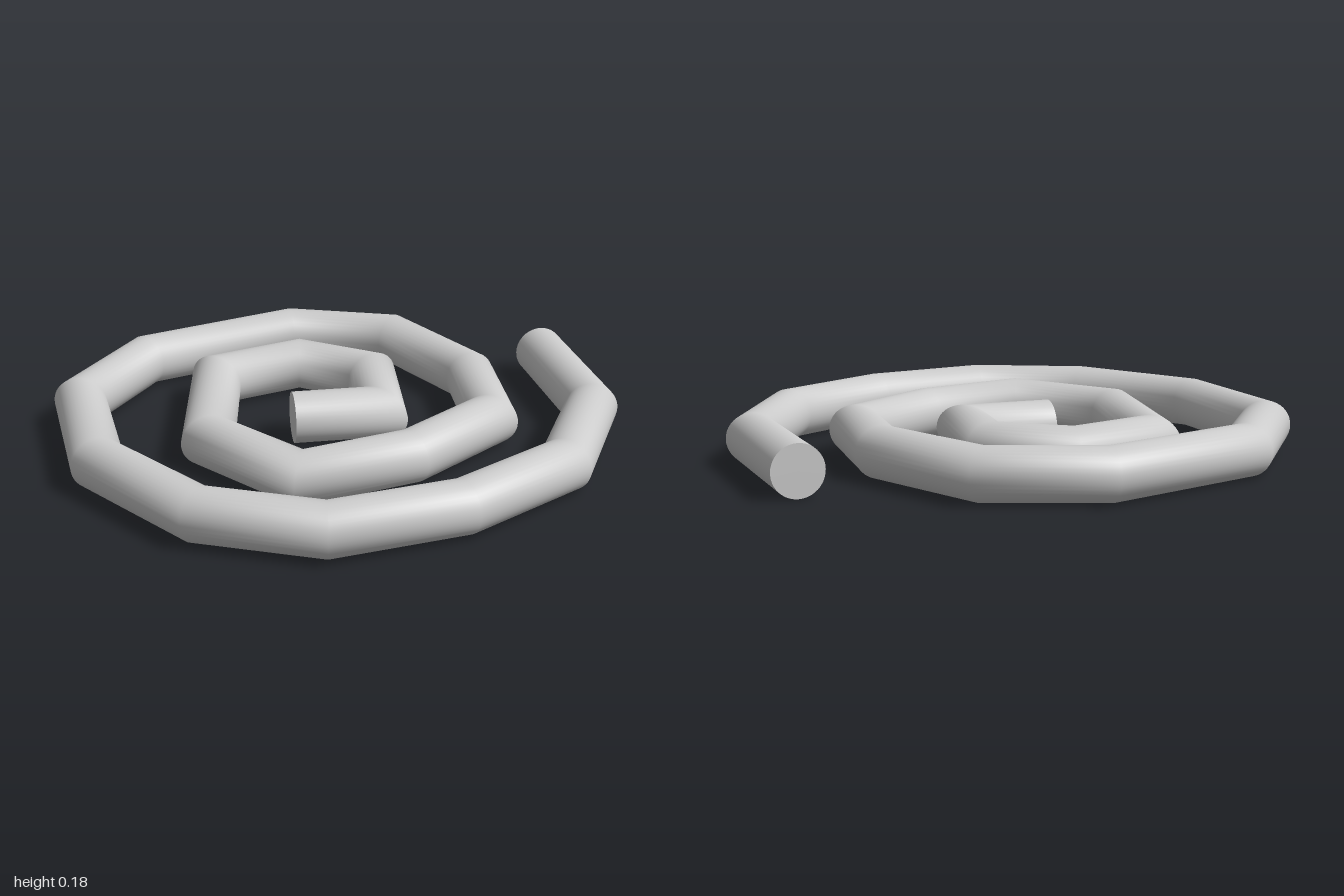
import * as THREE from 'three';

const RADIUS = 0.0885;
const SIDES = 40;

// Spiral centreline on the ground plane, [x, z], from the inner end outwards
const PATH = [
  [-0.05, 0.183], [0.09, -0.085], [-0.18, -0.259], [-0.442, -0.127], [-0.495, 0.201],
  [-0.066, 0.516], [0.354, 0.444], [0.437, 0.056], [0.368, -0.344], [0.029, -0.545],
  [-0.442, -0.561], [-0.73, -0.294], [-0.815, 0.299], [-0.608, 0.693], [-0.132, 0.899],
  [0.368, 0.841], [0.69, 0.587], [0.82, 0.161], [0.788, -0.296], [0.505, -0.688],
  [-0.005, -0.92],
].map(([x, z]) => new THREE.Vector3(x, RADIUS, z));

const direction = (i) => PATH[i + 1].clone().sub(PATH[i]).normalize();

// Straight round pipes joined by mitred corners, with normals shared along the length
function mitredTube() {
  const up = new THREE.Vector3(0, 1, 0);
  const last = PATH.length - 1;
  const positions = [], normals = [], index = [];
  PATH.forEach((p, i) => {
    const before = direction(Math.max(i - 1, 0));
    const after = direction(Math.min(i, last - 1));
    const tangent = before.clone().add(after).normalize();
    const side = tangent.clone().cross(up);
    const stretch = 1 / tangent.dot(after);
    for (let j = 0; j < SIDES; j++) {
      const a = (j / SIDES) * Math.PI * 2;
      const c = Math.cos(a), s = Math.sin(a);
      const v = p.clone().addScaledVector(side, c * RADIUS * stretch).addScaledVector(up, s * RADIUS);
      positions.push(v.x, v.y, v.z);
      normals.push(side.x * c, s, side.z * c);
      if (i < last) {
        const k = (j + 1) % SIDES;
        const a0 = i * SIDES + j, b0 = i * SIDES + k;
        index.push(a0, a0 + SIDES, b0, b0, a0 + SIDES, b0 + SIDES);
      }
    }
  });
  const g = new THREE.BufferGeometry();
  g.setAttribute('position', new THREE.Float32BufferAttribute(positions, 3));
  g.setAttribute('normal', new THREE.Float32BufferAttribute(normals, 3));
  g.setIndex(index);
  return g;
}

export function createModel() {
  const model = new THREE.Group();
  model.name = 'spiralCoil';
  const material = new THREE.MeshStandardMaterial({ color: 0xcccccc });

  const coil = new THREE.Mesh(mitredTube(), material);
  coil.name = 'coil';
  model.add(coil);

  // Flat discs closing both ends
  const addCap = (name, point, outward) => {
    const cap = new THREE.Mesh(new THREE.CircleGeometry(RADIUS, SIDES), material);
    cap.name = name;
    cap.position.copy(point);
    cap.lookAt(point.clone().add(outward));
    model.add(cap);
  };
  const last = PATH.length - 1;
  addCap('innerEndCap', PATH[0], direction(0).negate());
  addCap('outerEndCap', PATH[last], direction(last - 1));

  return model;
}
